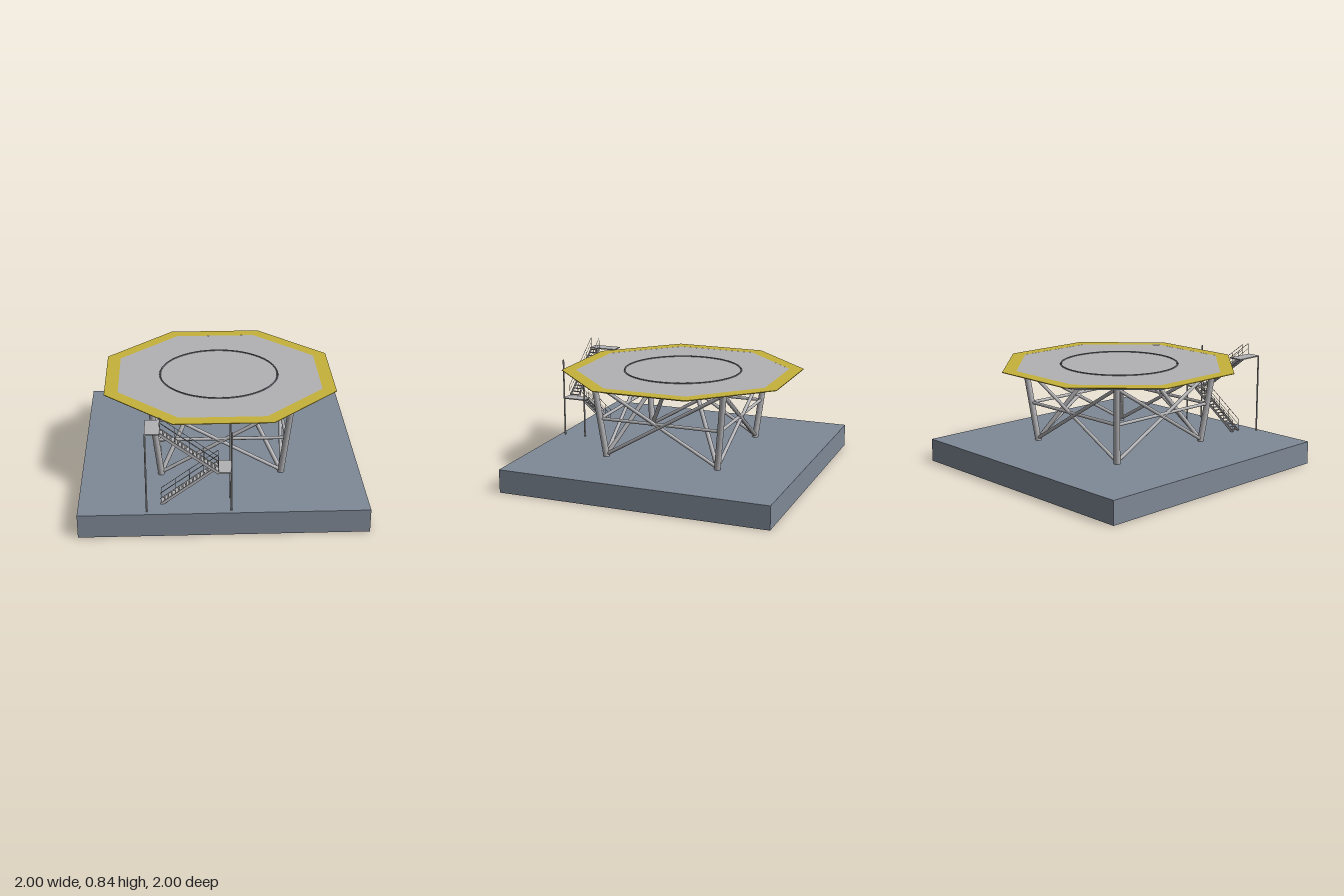
import * as THREE from 'three';

const mat = (name, hex, side = THREE.FrontSide) => {
  const m = new THREE.MeshStandardMaterial({ color: hex, side });
  m.name = name;
  return m;
};

export function createModel() {
  const model = new THREE.Group();
  model.name = 'helipad';
  const slate = mat('slate', 0x7f8997);
  const grey = mat('light grey', 0xb2b2b5);
  const yellow = mat('yellow', 0xc6b23a);
  const dark = mat('dark grey', 0x6c6e73);

  const V = (x, y, z) => new THREE.Vector3(x, y, z);
  const add = (parent, name, geo, material, x = 0, y = 0, z = 0) => {
    const m = new THREE.Mesh(geo, material);
    m.name = name;
    m.position.set(x, y, z);
    parent.add(m);
    return m;
  };
  const group = (name) => {
    const g = new THREE.Group();
    g.name = name;
    model.add(g);
    return g;
  };
  // Round bar between two points
  const bar = (parent, name, a, b, r, material = grey, sides = 12, rTop = r) => {
    const d = b.clone().sub(a);
    const m = add(parent, name, new THREE.CylinderGeometry(rTop, r, d.length(), sides), material);
    m.position.copy(a).add(b).multiplyScalar(0.5);
    m.quaternion.setFromUnitVectors(V(0, 1, 0), d.normalize());
    return m;
  };
  // Flat-sided octagonal ring from [apothem, y] points
  const octagon = (points) => {
    const k = 1 / Math.cos(Math.PI / 8);
    const pts = points.map(([a, y]) => new THREE.Vector2(a * k, y));
    const g = new THREE.LatheGeometry(pts, 8, Math.PI / 8).toNonIndexed();
    g.computeVertexNormals();
    return g;
  };

  // Ground slab
  add(model, 'base', new THREE.BoxGeometry(2, 0.17, 2), slate, 0, 0.085, 0);

  // Landing deck with its flared border
  const deck = group('deck');
  add(deck, 'deckPlate', octagon([[0, 0.748], [0.73, 0.748], [0.73, 0.761], [0, 0.761]]), grey);
  add(deck, 'yellowBorder',
    octagon([[0.725, 0.745], [0.825, 0.757], [0.825, 0.762], [0.728, 0.762]]), yellow);
  const ring = add(deck, 'landingCircle', new THREE.TorusGeometry(0.43, 0.006, 6, 96), dark, 0, 0.762, 0);
  ring.rotation.x = Math.PI / 2;

  // Beams below the deck
  const frame = group('deckFrame');
  const ringBeam = (name, a, w) => add(frame, name,
    octagon([[a - w, 0.727], [a, 0.727], [a, 0.75], [a - w, 0.75], [a - w, 0.727]]), slate);
  ringBeam('edgeBeam', 0.728, 0.035);
  ringBeam('innerBeam', 0.37, 0.025);
  for (let i = 0; i < 8; i++) {
    const t = Math.PI / 8 + i * Math.PI / 4;
    const b = add(frame, 'radialBeam', new THREE.BoxGeometry(0.77, 0.022, 0.025), slate,
      0.385 * Math.cos(t), 0.738, -0.385 * Math.sin(t));
    b.rotation.y = t;
  }

  // Four sides of the tower: leg, inner strut, tie and crossed braces
  for (let i = 0; i < 4; i++) {
    const side = group('towerSide');
    side.rotation.y = i * Math.PI / 2;
    bar(side, 'leg', V(0.43, 0.165, 0.43), V(0.492, 0.735, 0.492), 0.023, grey, 16);
    bar(side, 'innerStrut', V(0.43, 0.18, 0.43), V(0.125, 0.735, 0.125), 0.016);
    bar(side, 'tie', V(-0.46, 0.46, 0.46), V(0.46, 0.46, 0.46), 0.012);
    for (const s of [-1, 1]) {
      bar(side, 'crossBrace', V(-0.43 * s, 0.185, 0.432), V(0.485 * s, 0.725, 0.488), 0.013);
    }
  }

  // Stair landings and their posts
  const stairs = group('stairs');
  add(stairs, 'upperLanding', new THREE.BoxGeometry(0.1, 0.008, 0.215), grey, -0.48, 0.758, 0.86);
  add(stairs, 'lowerLanding', new THREE.BoxGeometry(0.09, 0.008, 0.18), grey, 0.008, 0.46, 0.876);
  for (const [x, z] of [[-0.528, 0.962], [0.048, 0.962], [0.048, 0.793]]) {
    bar(stairs, 'post', V(x, 0.17, z), V(x, 0.762, z), 0.006);
  }

  // One flight: stringers, treads and handrails
  const flight = (a, b, z0, z1) => {
    const at = (t, z, dy = 0) => V(a[0] + (b[0] - a[0]) * t, a[1] + (b[1] - a[1]) * t + dy, z);
    const slope = Math.atan2(b[1] - a[1], b[0] - a[0]);
    const length = Math.hypot(b[0] - a[0], b[1] - a[1]);
    for (const z of [z0, z1]) {
      const s = add(stairs, 'stringer', new THREE.BoxGeometry(length, 0.02, 0.005), grey);
      s.position.copy(at(0.5, z, -0.006));
      s.rotation.z = slope;
      bar(stairs, 'handrail', at(0, z, 0.085), at(1, z, 0.085), 0.002, grey, 6);
      bar(stairs, 'midRail', at(0, z, 0.045), at(1, z, 0.045), 0.0015, grey, 6);
      for (let i = 0; i <= 4; i++) {
        bar(stairs, 'railPost', at(i / 4, z), at(i / 4, z, 0.085), 0.002, grey, 6);
      }
    }
    const n = 16;
    for (let i = 0; i < n; i++) {
      const p = at((i + 0.5) / n, (z0 + z1) / 2);
      add(stairs, 'tread', new THREE.BoxGeometry(0.019, 0.004, z1 - z0), grey, p.x, p.y, p.z);
    }
  };
  flight([-0.43, 0.175], [-0.037, 0.46], 0.797, 0.863);
  flight([-0.037, 0.46], [-0.43, 0.758], 0.888, 0.957);

  return model;
}
